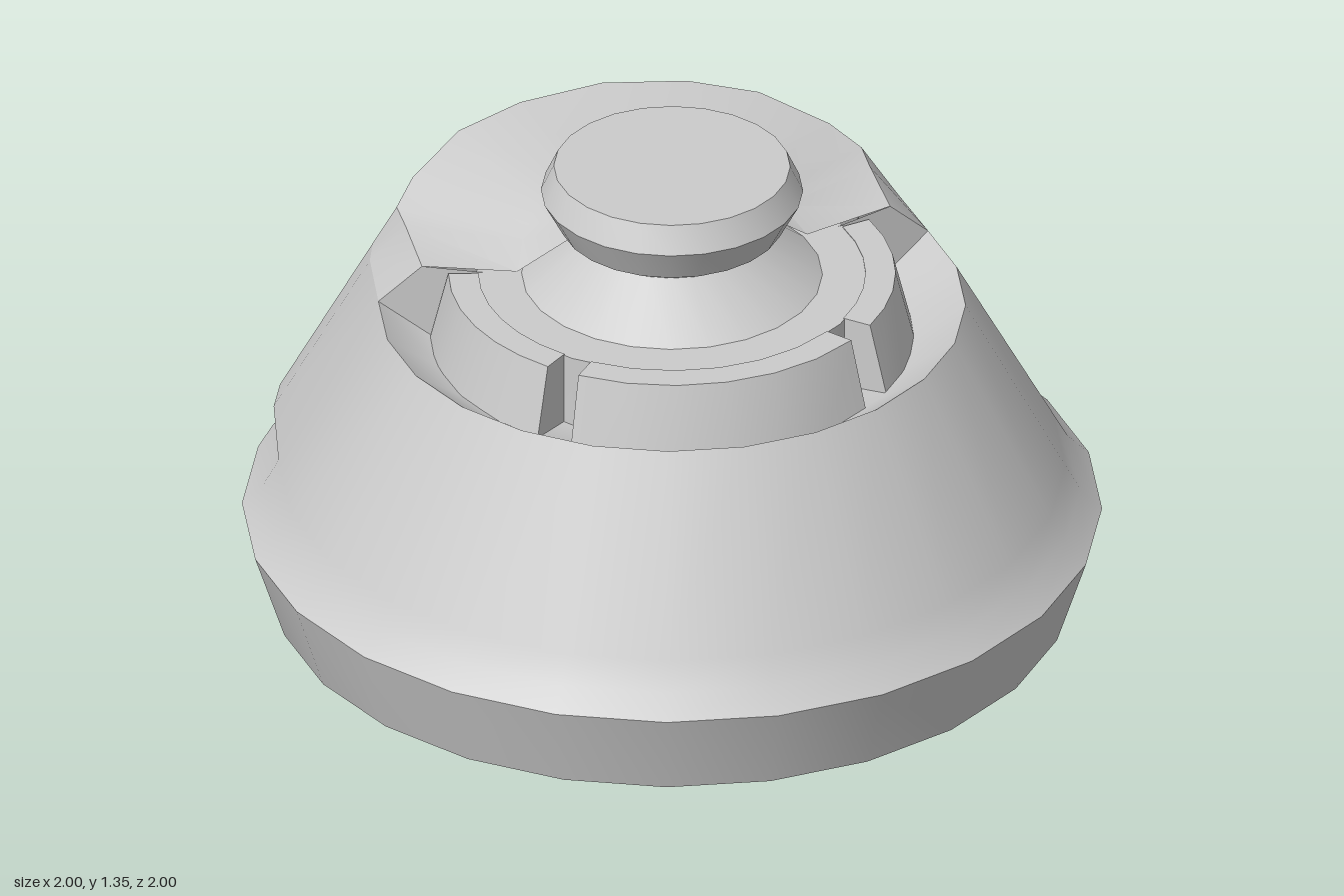
import * as THREE from 'three';
import { toCreasedNormals } from 'three/addons/utils/BufferGeometryUtils.js';

// The body is an open shell, so every surface shows from both sides
const shell = new THREE.MeshStandardMaterial({ color: 0xcccccc, side: THREE.DoubleSide });

// Point at an angle in degrees (0 = front, 90 = left), radius and height
const polar = (deg, r, y) => {
  const a = THREE.MathUtils.degToRad(deg);
  return [r * Math.sin(a), y, r * Math.cos(a)];
};
const mirrorRow = (row) => row.map(([x, y, z]) => [-x, y, z]).reverse();

function addMesh(parent, name, geometry, crease = 0.6) {
  const mesh = new THREE.Mesh(toCreasedNormals(geometry, crease), shell);
  mesh.name = name;
  parent.add(mesh);
  return mesh;
}

function lathe(profile) {
  return new THREE.LatheGeometry(profile.map(([r, y]) => new THREE.Vector2(r, y)), 24);
}

// Skin of quads over one or more grids of points
function loft(...grids) {
  const positions = [];
  for (const rows of grids) {
    for (let i = 0; i < rows.length - 1; i++) {
      for (let j = 0; j < rows[i].length - 1; j++) {
        const a = rows[i][j], b = rows[i][j + 1], c = rows[i + 1][j + 1], d = rows[i + 1][j];
        positions.push(...a, ...b, ...c, ...a, ...c, ...d);
      }
    }
  }
  const geometry = new THREE.BufferGeometry();
  geometry.setAttribute('position', new THREE.Float32BufferAttribute(positions, 3));
  geometry.computeVertexNormals();
  return geometry;
}

// Cone wall radius, flaring outwards towards the window corners
function wallPoint(deg, y, inset = 0) {
  const flare = y > 0.5 ? 0.066 * Math.max(0, (Math.abs(deg) - 105) / 21) : 0;
  return polar(deg, 0.95 - 0.54 * (y - 0.485) + flare - inset, y);
}

export function createModel() {
  const model = new THREE.Group();
  model.name = 'capsule';

  // Open bowl underside and wide rim
  addMesh(model, 'base', lathe([
    [0.51, 0], [0.67, 0.14], [0.84, 0.22], [0.93, 0.22], [1, 0.435],
  ]), 0.42);

  // Cone wall, open at the back, with a trough sloping inwards at its top
  const front = [];
  for (let a = -105; a <= 105; a += 15) front.push(a);
  const around = [-126, -120, ...front, 120, 126];
  addMesh(model, 'coneWall', loft([
    around.map((a) => polar(a, 1, 0.435)),
    ...[0.485, 0.55, 0.98].map((y) => around.map((a) => wallPoint(a, y))),
  ]));
  addMesh(model, 'trough', loft([
    front.map((a) => wallPoint(a, 0.98)),
    front.map((a) => polar(a, 0.56, 0.89)),
    front.map((a) => polar(a, 0.44, 0.88)),
  ]));

  // Hood edge: cheek tops, then the visor curve across the back
  const cheekTop = [wallPoint(105, 1.075, 0.05), wallPoint(120, 1.085, 0.03), wallPoint(126, 1.09)];
  const visor = [[0.5, 1.12, -0.48], [0.36, 1.16, -0.595], [0.2, 1.185, -0.645]];
  const halfEdge = [...cheekTop, ...visor];
  const edge = [...halfEdge, [0, 1.2, -0.66], ...mirrorRow(halfEdge)];

  // Raised cheeks either side of the window, with their front step
  const cheekBottom = [105, 120, 126].map((a) => wallPoint(a, 0.98));
  const step = [
    [polar(105, 0.56, 0.89), polar(105, 0.44, 0.88)],
    [cheekBottom[0], polar(105, 0.44, 0.98)],
    [cheekTop[0], polar(105, 0.44, 1.06)],
  ];
  addMesh(model, 'cheeks', loft(
    [cheekBottom, cheekTop],
    [mirrorRow(cheekBottom), mirrorRow(cheekTop)],
    step, step.map(mirrorRow),
  ));

  // Hood top, running from its edge over the dome to the neck
  const hoodRing = (radius, height) => edge.map(([x, , z]) => {
    const deg = THREE.MathUtils.radToDeg(Math.atan2(Math.abs(x), z));
    const rise = THREE.MathUtils.smoothstep(deg, 103, 150);
    return polar(Math.sign(x) * deg || 180, radius, height(rise));
  });
  addMesh(model, 'hood', loft([
    edge, hoodRing(0.36, (rise) => 1.062 + 0.11 * rise), hoodRing(0.21, () => 1.172),
  ]));

  // Window recess: ledge, sill, back wall and underside of the visor
  const visorEdge = edge.slice(2, -2);
  const spread = [1, 0.85, 0.62, 0.34, 0, -0.34, -0.62, -0.85, -1];
  const backAngles = [126, 135, 150, 165, 180, 195, 210, 225, 234];
  const lip = backAngles.map((a) =>
    polar(a, 0.978, 0.55 + 0.02 * Math.sin(Math.PI * (a - 126) / 108)));
  const ledge = backAngles.map((a) => polar(a, 1, 0.435));
  const lipFoot = backAngles.map((a) => polar(a, 0.95, 0.485));
  const wallFoot = spread.map((u) => [0.62 * u, 0.56, -0.5]);
  const wallHead = spread.map((u) => [0.53 * u, 1.07, -0.38]);
  const jamb = [
    [wallPoint(126, 0.55), wallFoot[0]],
    [cheekTop[2], wallHead[0]],
  ];
  addMesh(model, 'windowRecess', loft(
    [ledge, lipFoot, lip, wallFoot, wallHead, visorEdge],
    jamb, jamb.map(mirrorRow),
  ));

  // Window panel: gently curved slab with bowed, rounded sides
  const halfOutline = [[-0.56, 0], [-0.552, 0.1], [-0.53, 0.17], [-0.51, 0.205], [-0.47, 0.23], [-0.24, 0.23]];
  const outline = [...halfOutline, [0, 0.23], ...halfOutline.map(([x, h]) => [-x, h]).reverse()];
  const panelRow = (side, depth, bend) => outline.map(([x, h]) => [x, side * h, depth - bend * x * x]);
  const panel = addMesh(model, 'windowPanel', loft([
    panelRow(-1, 0, 0), panelRow(-1, 0.13, 0.18), panelRow(1, 0.13, 0.18), panelRow(1, 0, 0),
  ]));
  panel.rotation.order = 'YXZ';
  panel.rotation.set(-0.287, Math.PI, 0);
  panel.position.set(0, 0.804, -0.44);

  // Dome and neck
  addMesh(model, 'dome', lathe([
    [0.455, 0.88], [0.455, 1.06], [0.35, 1.06], [0.21, 1.17], [0.21, 1.21],
  ]));

  // Top knob
  addMesh(model, 'knob', lathe([
    [0, 1.2], [0.26, 1.2], [0.305, 1.285], [0.275, 1.35], [0, 1.35],
  ]));

  // Three curved blocks around the dome, standing in the trough
  const blockProfile = [[0.565, 0.88], [0.52, 1.062], [0.45, 1.062], [0.45, 0.88]];
  const blocks = { frontBlock: [-39, 39], leftBlock: [48, 104], rightBlock: [-104, -48] };
  for (const [name, [from, to]] of Object.entries(blocks)) {
    const rows = blockProfile.map(([r, y]) =>
      Array.from({ length: 7 }, (_, j) => polar(from + (to - from) * j / 6, r, y)));
    const cap = (j) => [[rows[0][j], rows[3][j]], [rows[1][j], rows[2][j]]];
    addMesh(model, name, loft(rows, cap(6), cap(0).map((row) => row.reverse())));
  }

  return model;
}
